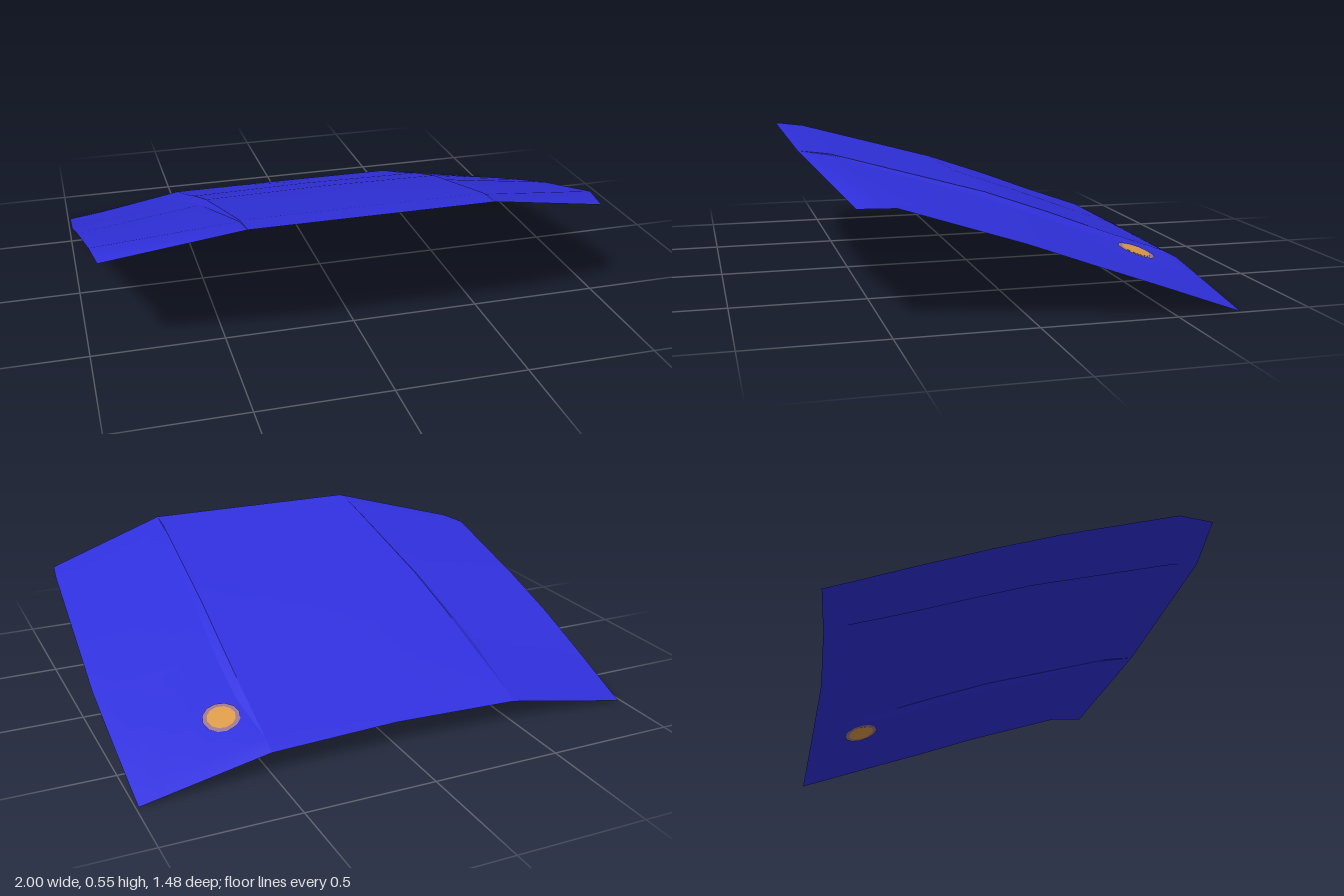
import * as THREE from 'three';

const blue = new THREE.MeshStandardMaterial({ name: 'bodyBlue', color: 0x3030de, side: THREE.DoubleSide });
const orange = new THREE.MeshStandardMaterial({ name: 'badgeOrange', color: 0xdc9a48, side: THREE.DoubleSide });
const mauve = new THREE.MeshStandardMaterial({ name: 'badgeRimMauve', color: 0x9a7694, side: THREE.DoubleSide });

// Rails run from the raised front edge to the low rear edge: [x, y, z]
const centreRail = [[0, .55, .735], [0, .536, .62], [0, .382, .05], [0, .294, -.2], [0, .207, -.43], [0, .124, -.65], [0, .097, -.705]];
const panelEdge = [[.45, .55, .735], [.455, .535, .62], [.48, .376, .05], [.49, .288, -.2], [.495, .2, -.43], [.5, .118, -.66], [.5, .088, -.718]];
const wingInner = [[.45, .55, .735], [.457, .531, .62], [.505, .355, .05], [.52, .263, -.2], [.525, .18, -.43], [.5, .118, -.66], [.5, .088, -.718]];
const wingOuter = [[.95, .425, .605], [.97, .425, .475], [.99, .29, .05], [1, .2, -.2], [.997, .117, -.43], [.992, .032, -.66], [.99, .003, -.74]];

const mirror = rail => rail.map(([x, y, z]) => [-x, y, z]);
const lerp = THREE.MathUtils.lerp;

// Sheet stretched across rails listed in order of rising x
function sheet(name, rails, steps) {
  const rows = [];
  for (let r = 0; r < rails.length - 1; r++) {
    for (let k = r ? 1 : 0; k <= steps; k++) {
      rows.push(rails[r].map((p, s) => p.map((v, i) => lerp(v, rails[r + 1][s][i], k / steps))));
    }
  }
  const n = rails[0].length, index = [];
  for (let r = 0; r < rows.length - 1; r++) {
    for (let s = 0; s < n - 1; s++) {
      const a = r * n + s, b = a + n;
      index.push(a, b, a + 1, b, b + 1, a + 1);
    }
  }
  const geometry = new THREE.BufferGeometry();
  geometry.setAttribute('position', new THREE.Float32BufferAttribute(rows.flat(2), 3));
  geometry.setIndex(index);
  geometry.computeVertexNormals();
  const mesh = new THREE.Mesh(geometry, blue);
  mesh.name = name;
  return mesh;
}

// Height of the left wing near its rear, where the badge sits
function wingHeight(x, z) {
  const t = (-.43 - z) / .23;
  const [a, b] = [wingInner, wingOuter].map(rail => rail[4].map((v, i) => lerp(v, rail[5][i], t)));
  return lerp(a[1], b[1], (x - a[0]) / (b[0] - a[0]));
}

// Flat badge face draped over the wing
function badgeFace(name, geometry, material, lift) {
  geometry.rotateX(-Math.PI / 2).translate(.608, 0, -.503);
  const p = geometry.attributes.position;
  for (let i = 0; i < p.count; i++) p.setY(i, wingHeight(p.getX(i), p.getZ(i)) + lift);
  geometry.computeVertexNormals();
  const mesh = new THREE.Mesh(geometry, material);
  mesh.name = name;
  return mesh;
}

export function createModel() {
  const group = new THREE.Group();
  group.name = 'bonnet';

  // Raised middle panel, slightly crowned
  group.add(sheet('centrePanel', [mirror(panelEdge), centreRail, panelEdge], 2));

  // Crease walls and sloping wings
  group.add(sheet('leftCrease', [panelEdge, wingInner], 1));
  group.add(sheet('rightCrease', [mirror(wingInner), mirror(panelEdge)], 1));
  group.add(sheet('leftWing', [wingInner, wingOuter], 6));
  group.add(sheet('rightWing', [mirror(wingOuter), mirror(wingInner)], 6));

  // Round badge, showing on both faces of the sheet
  for (const [side, lift] of [['Top', .004], ['Underside', -.004]]) {
    group.add(badgeFace('badgeRim' + side, new THREE.RingGeometry(.052, .07, 12), mauve, lift));
    group.add(badgeFace('badgeCore' + side, new THREE.CircleGeometry(.053, 12), orange, lift * 1.2));
  }
  return group;
}
